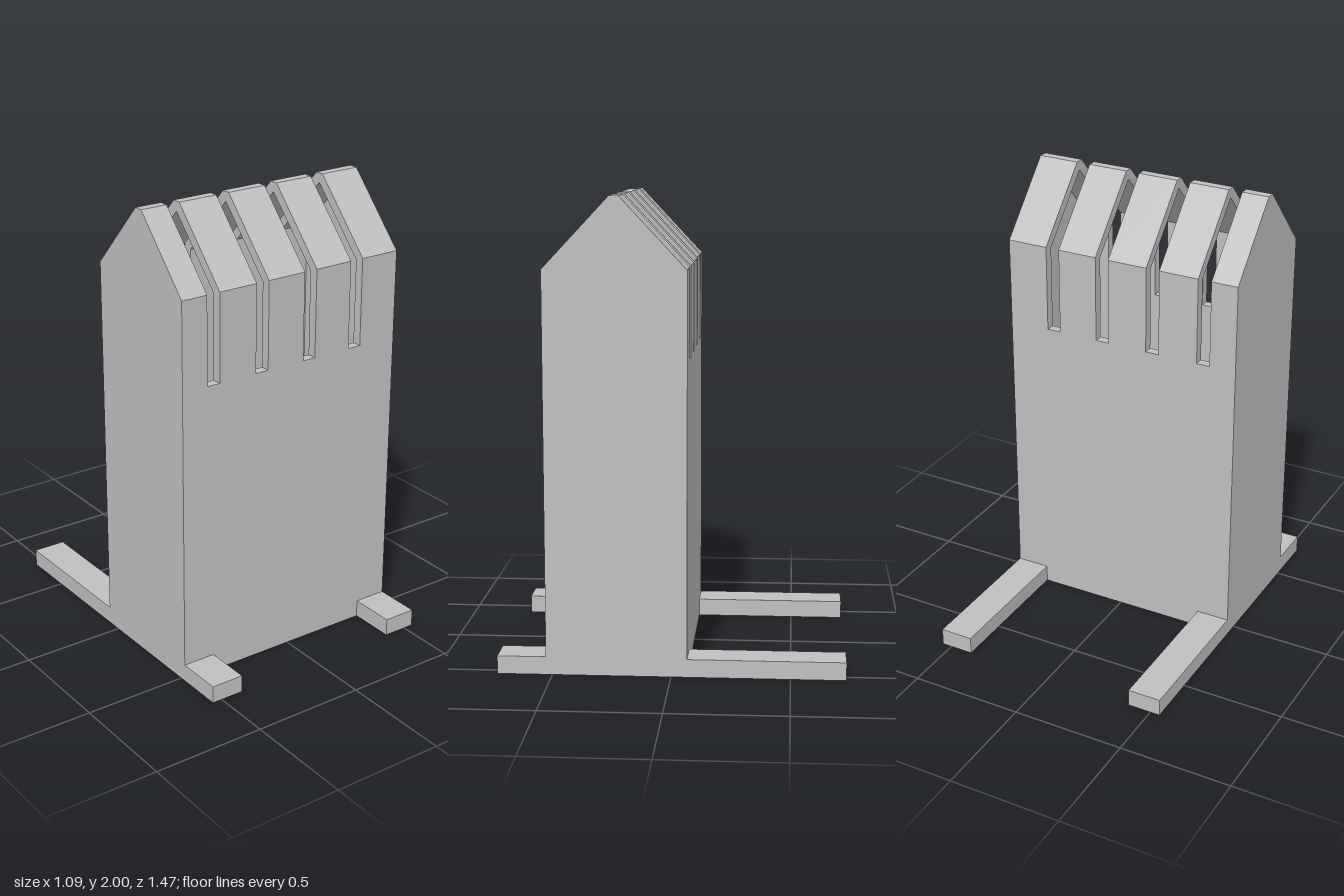
import * as THREE from 'three';

// Body dimensions
const HX = 0.544, WALL = 0.042;
const BACK = -0.068, FRONT = 0.527, MID = (BACK + FRONT) / 2;
const EAVE = 1.703, TOP = 2, SLOT_Y = 1.318;
const FOOT_W = 0.148, FOOT_H = 0.077, FOOT_Z = 0.733;

export function createModel() {
  const group = new THREE.Group();
  const grey = new THREE.MeshStandardMaterial({ color: 0xc0c0c0 });
  grey.name = 'grey';

  function add(name, geometry) {
    const mesh = new THREE.Mesh(geometry, grey);
    mesh.name = name;
    group.add(mesh);
  }

  // Box given by its limits
  function box(name, x0, x1, y0, y1, z0, z1) {
    const g = new THREE.BoxGeometry(x1 - x0, y1 - y0, z1 - z0);
    g.translate((x0 + x1) / 2, (y0 + y1) / 2, (z0 + z1) / 2);
    add(name, g);
  }

  // Extrude a (z, y) outline along x
  function slab(name, points, x0, x1) {
    const shape = new THREE.Shape(points.map(([z, y]) => new THREE.Vector2(z, y)));
    const g = new THREE.ExtrudeGeometry(shape, { depth: x1 - x0, bevelEnabled: false });
    g.rotateY(-Math.PI / 2);
    g.translate(x1, 0, 0);
    add(name, g);
  }

  // Gabled outline with a narrow flat ridge
  const gable = (y) => [
    [FRONT, y], [FRONT, EAVE], [MID + 0.02, TOP],
    [MID - 0.02, TOP], [BACK, EAVE], [BACK, y],
  ];
  const inside = [
    [BACK + WALL, SLOT_Y], [BACK + WALL, 1.687], [MID, 1.958],
    [FRONT - WALL, 1.687], [FRONT - WALL, SLOT_Y],
  ];

  // Closed ends of the hollow body
  slab('leftEndWall', gable(0), HX - WALL, HX);
  slab('rightEndWall', gable(0), -HX, -HX + WALL);

  // Lower front and back walls, open underneath
  const inner = HX - WALL;
  box('frontWall', -inner, inner, 0, SLOT_Y, FRONT - WALL, FRONT);
  box('backWall', -inner, inner, 0, SLOT_Y, BACK, BACK + WALL);

  // Hollow roof strips separated by slots
  const strips = [[-inner, -0.424], [-0.364, -0.184], [-0.123, 0.058], [0.119, 0.298], [0.36, inner]];
  for (const [x0, x1] of strips) slab('roofStrip', [...gable(SLOT_Y), ...inside], x0, x1);

  // Feet, short in front and long behind
  for (const [side, x0] of [['right', -HX], ['left', HX - FOOT_W]]) {
    box(side + 'FrontFoot', x0, x0 + FOOT_W, 0, FOOT_H, FRONT, FOOT_Z);
    box(side + 'BackFoot', x0, x0 + FOOT_W, 0, FOOT_H, -FOOT_Z, BACK);
  }

  return group;
}
